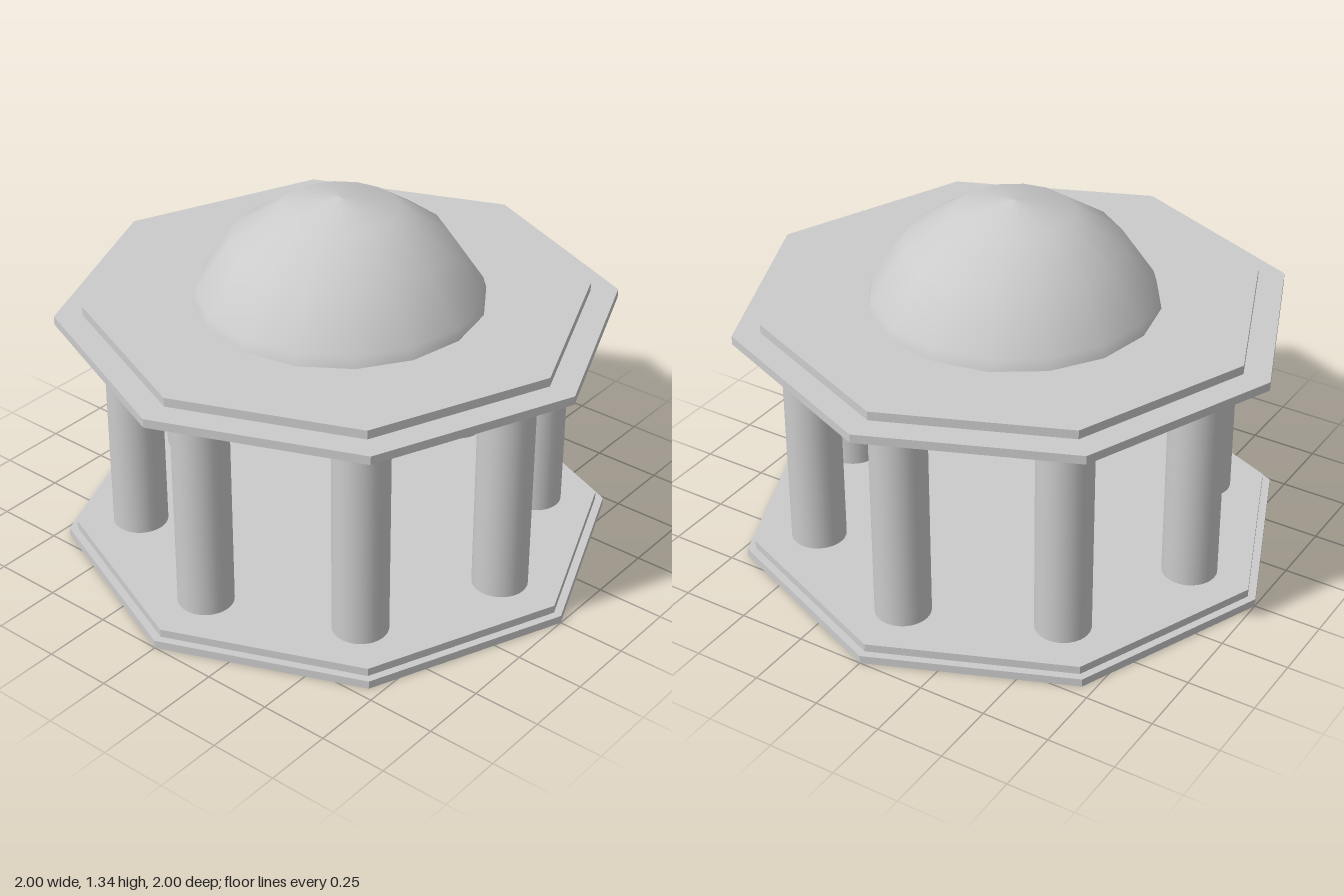
import * as THREE from 'three';

const smooth = new THREE.MeshStandardMaterial({ color: 0xcccccc });
const faceted = new THREE.MeshStandardMaterial({ color: 0xcccccc, flatShading: true });

// Upright prism or column standing between two heights
function pillar(name, radius, y0, y1, sides, material) {
  const mesh = new THREE.Mesh(new THREE.CylinderGeometry(radius, radius, y1 - y0, sides), material);
  mesh.position.y = (y0 + y1) / 2;
  mesh.name = name;
  return mesh;
}

export function createModel() {
  const model = new THREE.Group();
  model.name = 'domedPavilion';

  // Stepped octagonal floor and roof, corners on the axes
  model.add(
    pillar('floorLowerStep', 1, 0, 0.03, 8, faceted),
    pillar('floorUpperStep', 0.97, 0.03, 0.06, 8, faceted),
    pillar('roofSlab', 1, 0.895, 0.927, 8, faceted),
    pillar('roofUpperStep', 0.9, 0.927, 0.96, 8, faceted)
  );

  // Ring of eight round columns, one toward each corner
  const columns = new THREE.Group();
  columns.name = 'columns';
  for (let i = 0; i < 8; i++) {
    const angle = (i * Math.PI) / 4;
    const column = pillar('column', 0.1, 0.06, 0.895, 32, smooth);
    column.position.x = 0.735 * Math.sin(angle);
    column.position.z = 0.735 * Math.cos(angle);
    columns.add(column);
  }
  model.add(columns);

  // Sixteen-sided dome: rings of a sphere, cut off at the roof
  const radius = 0.55;
  const centreY = 0.79;
  const profile = [new THREE.Vector2(0.522, 0.955)];
  for (let i = 3; i >= 0; i--) {
    const a = (i * Math.PI) / 8;
    profile.push(new THREE.Vector2(radius * Math.sin(a), centreY + radius * Math.cos(a)));
  }
  const dome = new THREE.Mesh(new THREE.LatheGeometry(profile, 16), smooth);
  dome.position.z = -0.005;
  dome.name = 'dome';
  model.add(dome);

  return model;
}
